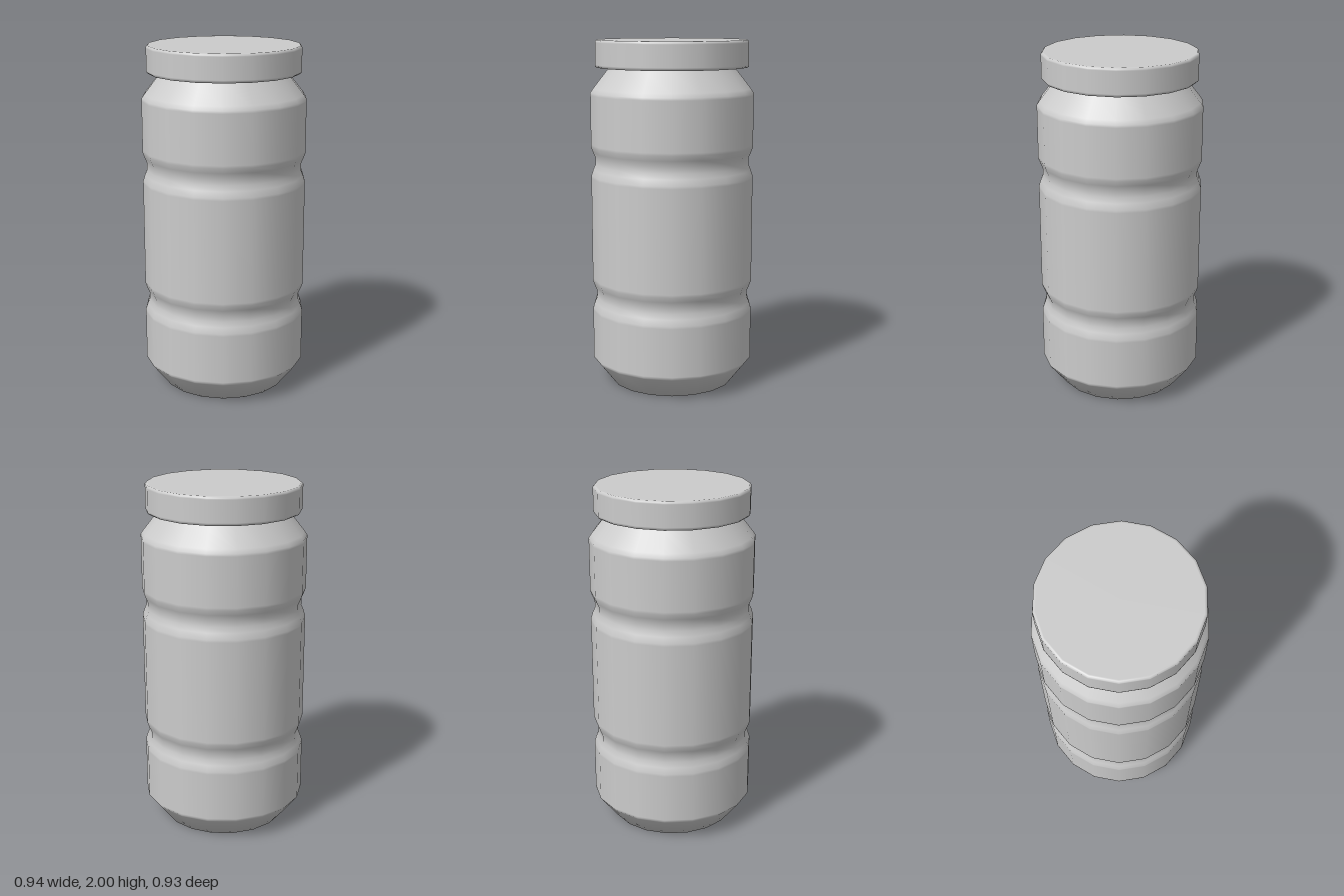
import * as THREE from 'three';

const SIDES = 18;
const WALL = 0.47;

// Turns a bottom-to-top [radius, height] profile with a corner on the x axis
function turned(name, profile, material) {
  const points = profile.map(([r, y]) => new THREE.Vector2(r, y));
  const mesh = new THREE.Mesh(new THREE.LatheGeometry(points, SIDES, Math.PI / 2), material);
  mesh.name = name;
  return mesh;
}

// Shallow grip groove pressed into the wall around height y
function groove(y) {
  return [
    [WALL, y - 0.1], [WALL, y - 0.085], [0.459, y - 0.05], [0.446, y - 0.02],
    [0.446, y + 0.02], [0.459, y + 0.05], [WALL, y + 0.08], [WALL, y + 0.095],
  ];
}

export function createModel() {
  const group = new THREE.Group();
  group.name = 'jar';
  const material = new THREE.MeshStandardMaterial({ color: 0xcccccc });

  // Body: flat base, chamfer, two grooves, sloping shoulder
  group.add(turned('body', [
    [0, 0], [0.36, 0], [0.462, 0.13], [WALL, 0.14], [WALL, 0.15],
    ...groove(0.53),
    ...groove(1.315),
    [WALL, 1.69], [WALL, 1.705], [0.455, 1.727], [0.37, 1.835], [0.36, 1.85],
  ], material));

  // Lid: flat disc with a softened rim
  const bottom = 1.845, r = 0.44, b = 0.008;
  group.add(turned('lid', [
    [0, bottom], [r - 2 * b, bottom], [r - b, bottom], [r, bottom + b], [r, bottom + 2 * b],
    [r, 2 - 2 * b], [r, 2 - b], [r - b, 2], [r - 2 * b, 2], [0, 2],
  ], material));

  return group;
}
